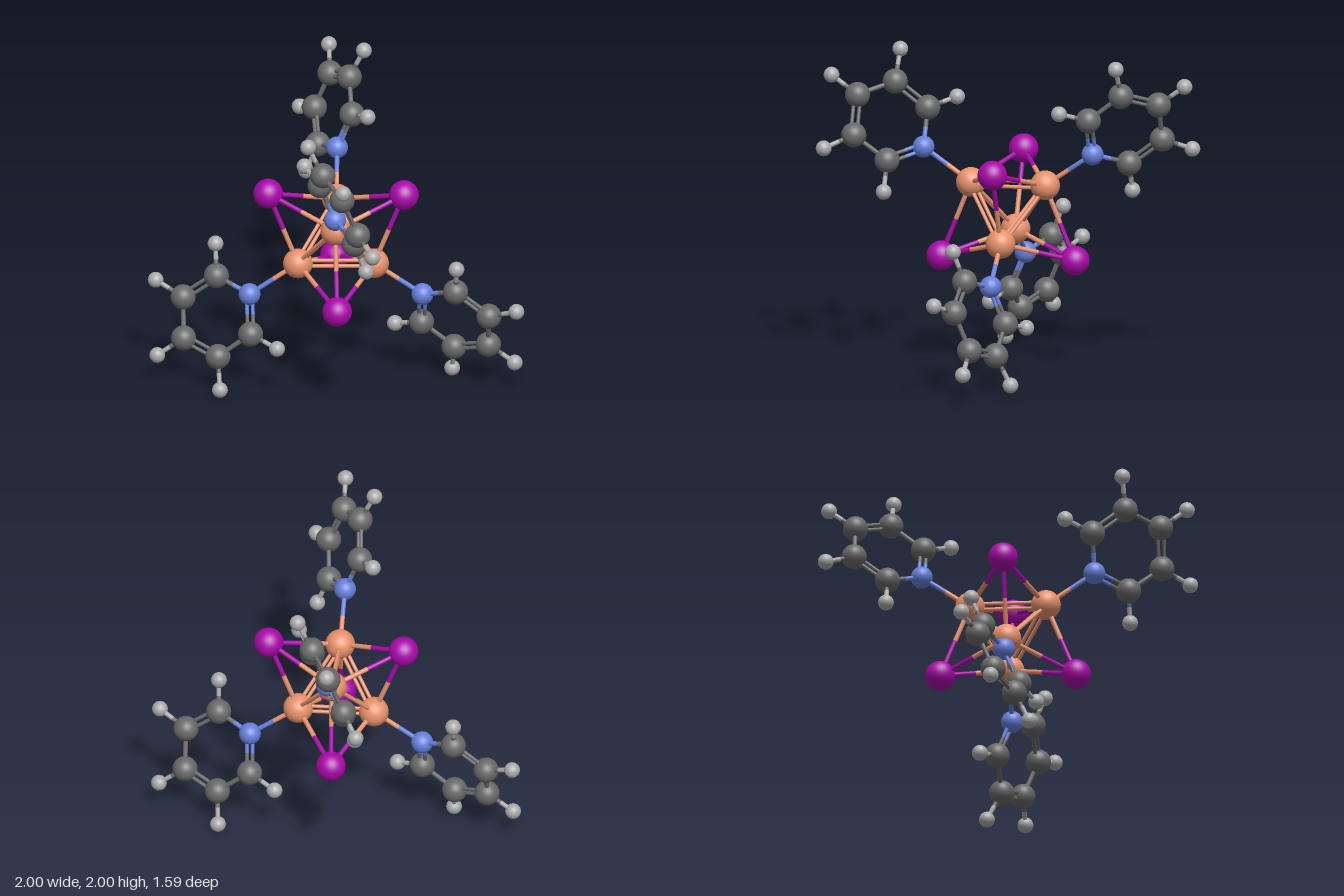
import * as THREE from 'three';

// Atom kinds: colour and ball radius
const KINDS = {
  copper: { color: 0xe8926c, radius: 0.092 },
  iodine: { color: 0xaa08aa, radius: 0.092 },
  nitrogen: { color: 0x6680dc, radius: 0.068 },
  carbon: { color: 0x696969, radius: 0.078 },
  hydrogen: { color: 0xaaaaaa, radius: 0.049 },
};
for (const kind of Object.values(KINDS)) {
  kind.material = new THREE.MeshStandardMaterial({ color: kind.color });
  kind.ball = new THREE.SphereGeometry(kind.radius, 32, 20);
}

const UP = new THREE.Vector3(0, 1, 0);

function makeAtom(group, kind, x, y, z) {
  const ball = new THREE.Mesh(KINDS[kind].ball, KINDS[kind].material);
  ball.name = kind + 'Atom';
  ball.position.set(x, y, z);
  group.add(ball);
  return { kind, pos: ball.position };
}

// One rod, coloured half by each of the atoms it joins
function addRod(group, a, b, radius, offset) {
  const middle = a.pos.clone().add(b.pos).multiplyScalar(0.5);
  for (const atom of [a, b]) {
    const span = middle.clone().sub(atom.pos);
    const rod = new THREE.Mesh(
      new THREE.CylinderGeometry(radius, radius, span.length(), 12, 1, true),
      KINDS[atom.kind].material
    );
    rod.name = atom.kind + 'Bond';
    rod.position.copy(atom.pos).addScaledVector(span, 0.5).add(offset);
    rod.quaternion.setFromUnitVectors(UP, span.normalize());
    group.add(rod);
  }
}

const singleBond = (group, a, b) => addRod(group, a, b, 0.015, new THREE.Vector3());

// Two parallel rods, spread along the direction away from a centre point
function doubleBond(group, a, b, centre) {
  const along = b.pos.clone().sub(a.pos).normalize();
  const out = a.pos.clone().add(b.pos).multiplyScalar(0.5).sub(centre);
  out.addScaledVector(along, -out.dot(along)).normalize();
  for (const s of [-0.019, 0.019]) addRod(group, a, b, 0.012, out.clone().multiplyScalar(s));
}

// Six-membered ring with its hydrogens; flips place it in one of four corners
function makeRing(copper, [sx, sy, sz], firstDouble) {
  const ring = new THREE.Group();
  ring.name = 'ringLigand';
  const at = (kind, [x, y, z]) => makeAtom(ring, kind, x * sx, y * sy, z * sz);
  const swap = ([x, y, z]) => [y, x, z];
  const carbons = [[0.605, 0.305, 0.44], [0.765, 0.46, 0.57], [0.695, 0.695, 0.635]];
  const hydrogens = [[0.66, 0.12, 0.393], [0.951, 0.387, 0.625], [0.815, 0.815, 0.745]];
  const both = (list) => [...list, swap(list[1]), swap(list[0])];

  const atoms = [at('nitrogen', [0.375, 0.375, 0.38]), ...both(carbons).map((p) => at('carbon', p))];
  const centre = new THREE.Vector3();
  atoms.forEach((atom) => centre.addScaledVector(atom.pos, 1 / 6));

  // Alternating double and single bonds round the ring
  atoms.forEach((atom, i) => {
    const next = atoms[(i + 1) % 6];
    if (i % 2 === firstDouble) doubleBond(ring, atom, next, centre);
    else singleBond(ring, atom, next);
  });
  both(hydrogens).forEach((p, i) => singleBond(ring, atoms[i + 1], at('hydrogen', p)));
  singleBond(ring, copper, atoms[0]);
  return ring;
}

export function createModel() {
  const model = new THREE.Group();
  model.name = 'clusterMolecule';
  const core = new THREE.Group();
  core.name = 'clusterCore';
  model.add(core);

  // Two interlocking tetrahedra of metal and iodine
  const corners = [[1, 1, 1], [-1, 1, -1], [-1, -1, 1], [1, -1, -1]];
  const coppers = corners.map(([x, y, z]) => makeAtom(core, 'copper', 0.164 * x, 0.166 * y, 0.168 * z));
  const iodines = corners.map(([x, y, z]) => makeAtom(core, 'iodine', -0.303 * x, -0.303 * y, -0.29 * z));

  const origin = new THREE.Vector3();
  coppers.forEach((copper, i) => {
    for (let j = i + 1; j < 4; j++) doubleBond(core, copper, coppers[j], origin);
    iodines.forEach((iodine, j) => {
      if (i !== j) singleBond(core, copper, iodine);
    });
  });

  // One ring on each metal corner
  corners.forEach((signs, i) => model.add(makeRing(coppers[i], signs, i === 0 ? 0 : 1)));

  model.children.forEach((part) => (part.position.y = 1));
  return model;
}
